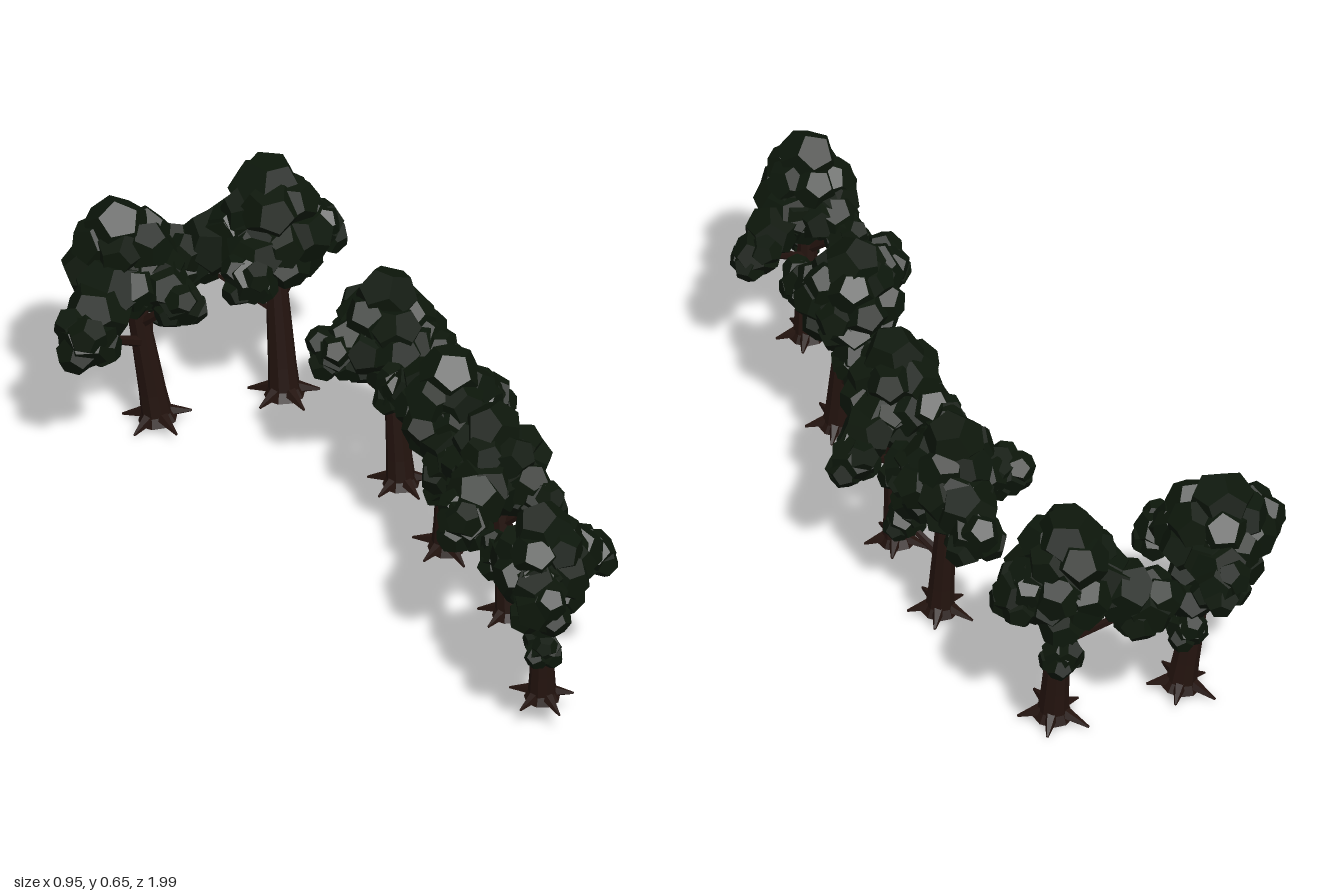
import * as THREE from 'three';
import { mergeGeometries } from 'three/addons/utils/BufferGeometryUtils.js';

const leafMat = new THREE.MeshStandardMaterial({ color: 0x0d170b, flatShading: true });
const barkMat = new THREE.MeshStandardMaterial({ color: 0x23130e, flatShading: true });
const V = (a) => new THREE.Vector3(...a);
const UP = new THREE.Vector3(0, 1, 0);

// base: foot of trunk; top: crest of the crown
// lobes: centres of three side clumps, then the small low clump
const TREES = [
  { base: [-0.165, 0.015, -0.77], top: [-0.26, 0.645, -0.8],
    lobes: [[-0.395, 0.37, -0.655], [-0.21, 0.42, -0.925], [-0.15, 0.41, -0.66], [-0.14, 0.275, -0.88]] },
  { base: [0.16, 0.01, -0.76], top: [0.14, 0.66, -0.82],
    lobes: [[-0.035, 0.38, -0.89], [0.265, 0.44, -0.81], [0.04, 0.41, -0.69], [0.19, 0.3, -0.9]] },
  { base: [0.265, 0.015, -0.28], top: [0.24, 0.61, -0.31],
    lobes: [[0.25, 0.375, -0.475], [0.105, 0.41, -0.315], [0.335, 0.42, -0.225], [0.325, 0.25, -0.205]] },
  { base: [0.26, 0.01, 0.016], top: [0.25, 0.605, 0.06],
    lobes: [[0.215, 0.345, 0.155], [0.405, 0.36, -0.07], [0.175, 0.42, -0.085], [0.22, 0.245, 0.105]] },
  { base: [0.255, 0.065, 0.43], top: [0.23, 0.64, 0.385],
    lobes: [[0.095, 0.43, 0.53], [0.25, 0.37, 0.3], [0.3, 0.44, 0.53], [0.235, 0.255, 0.28]] },
  { base: [0.19, 0.06, 0.79], top: [0.175, 0.635, 0.83],
    lobes: [[0.13, 0.41, 0.92], [0.345, 0.4, 0.725], [0.125, 0.42, 0.69], [0.15, 0.275, 0.895]] },
];
const LOBE_RADII = [0.08, 0.07, 0.064, 0.054];

function seeded(seed) {
  let s = seed;
  return () => ((s = (s * 16807) % 2147483647) / 2147483647);
}

// Tapered branch between two points
function limb(a, b, r0, r1, sides) {
  const d = b.clone().sub(a);
  const g = new THREE.CylinderGeometry(r1, r0, d.length(), sides);
  g.applyQuaternion(new THREE.Quaternion().setFromUnitVectors(UP, d.clone().normalize()));
  const mid = a.clone().add(b).multiplyScalar(0.5);
  return g.translate(mid.x, mid.y, mid.z);
}

// Faceted clump of leaves, slightly squashed and turned at random
function clump(p, r, rnd) {
  const g = new THREE.DodecahedronGeometry(r);
  g.rotateX(rnd() * 6.28).rotateY(rnd() * 6.28).scale(1, 0.93 + rnd() * 0.1, 1);
  return g.translate(p.x, p.y, p.z);
}

function makeWood(base, fork, lobes, s) {
  const lean = new THREE.Quaternion().setFromUnitVectors(UP, fork.clone().sub(base).normalize());
  const at = (x, y, z) => new THREE.Vector3(x, y, z).multiplyScalar(s).applyQuaternion(lean).add(base);
  const parts = [];

  // Trunk with a flared foot
  const h = fork.distanceTo(base) / s;
  const profile = [[0, 0], [0.046, 0], [0.036, 0.022], [0.032, 0.08], [0.027, 0.22], [0.024, h * 0.85], [0, h]];
  const trunk = new THREE.LatheGeometry(profile.map(([x, y]) => new THREE.Vector2(x, y)), 9);
  trunk.scale(s, s, s).applyQuaternion(lean).translate(base.x, base.y, base.z);
  parts.push(trunk);

  // Roots spreading along the ground
  for (let i = 0; i < 5; i++) {
    const a = i * 1.257 + 0.2, len = 0.08 + 0.01 * (i % 2);
    const c = Math.cos(a), n = Math.sin(a);
    parts.push(limb(at(c * 0.018, 0.02, n * 0.018), at(c * len, 0.002, n * len), 0.018 * s, 0.003 * s, 5));
  }

  // Branches reaching into every side clump
  lobes.forEach((p, i) => {
    const start = base.clone().lerp(fork, i === 3 ? 0.45 : 0.6 + i * 0.07);
    parts.push(limb(start, p, 0.014 * s, 0.007 * s, 6));
  });
  return new THREE.Mesh(mergeGeometries(parts), barkMat);
}

function makeFoliage(top, fork, lobes, s, rnd) {
  const core = top.clone().lerp(fork, 0.5).setY(top.y - 0.18 * s);
  const parts = [
    clump(core, 0.11 * s, rnd),
    clump(top.clone().setY(top.y - 0.073 * s), 0.078 * s, rnd),
  ];

  // Rings of clumps, widening downwards: [count, ring radius, depth below crest, clump radius]
  for (const [n, ring, drop, r] of [[5, 0.056, 0.115, 0.064], [7, 0.078, 0.18, 0.064], [6, 0.062, 0.235, 0.06]]) {
    const turn = rnd() * 6.28;
    for (let i = 0; i < n; i++) {
      const a = turn + (i / n) * Math.PI * 2, q = ring * s * (0.9 + 0.2 * rnd());
      const y = top.y - (drop + (rnd() - 0.5) * 0.03) * s;
      const p = new THREE.Vector3(core.x + Math.cos(a) * q, y, core.z + Math.sin(a) * q);
      parts.push(clump(p, r * s * (0.9 + 0.2 * rnd()), rnd));
    }
  }

  // Side lobes: a large clump with smaller ones around it
  lobes.forEach((p, i) => {
    const r = LOBE_RADII[i] * s;
    parts.push(clump(p, r * 0.9, rnd));
    for (let k = 0; k < 5; k++) {
      const a = k * 1.257 + rnd();
      const off = new THREE.Vector3(Math.cos(a), (k % 2) * 1.6 - 0.8, Math.sin(a)).multiplyScalar(r * 0.42);
      parts.push(clump(p.clone().add(off), r * 0.62, rnd));
    }
    // Clumps joining the lobe to the crown
    if (i < 3) {
      for (const [t, k] of [[0.3, 1.0], [0.6, 1.08]]) {
        const q = p.clone().lerp(core, t);
        parts.push(clump(q.setY(q.y + 0.015), r * k, rnd));
      }
    } else {
      const q = p.clone().lerp(core, 0.15);
      parts.push(clump(q.setY(p.y + 0.07), r, rnd));
    }
  });
  return new THREE.Mesh(mergeGeometries(parts), leafMat);
}

export function createModel() {
  const model = new THREE.Group();
  model.name = 'treeRow';
  TREES.forEach((t, i) => {
    const base = V(t.base), top = V(t.top), lobes = t.lobes.map(V);
    const fork = base.clone().lerp(top, 0.59);
    const size = (top.y - base.y) / 0.6;
    const tree = new THREE.Group();
    tree.name = `tree${i + 1}`;
    const wood = makeWood(base, fork, lobes, size);
    wood.name = 'trunkAndBranches';
    const foliage = makeFoliage(top, fork, lobes, size, seeded(101 + i * 977));
    foliage.name = 'foliage';
    tree.add(wood, foliage);
    model.add(tree);
  });
  // Stand on the ground
  model.position.y = -new THREE.Box3().setFromObject(model).min.y;
  return model;
}
